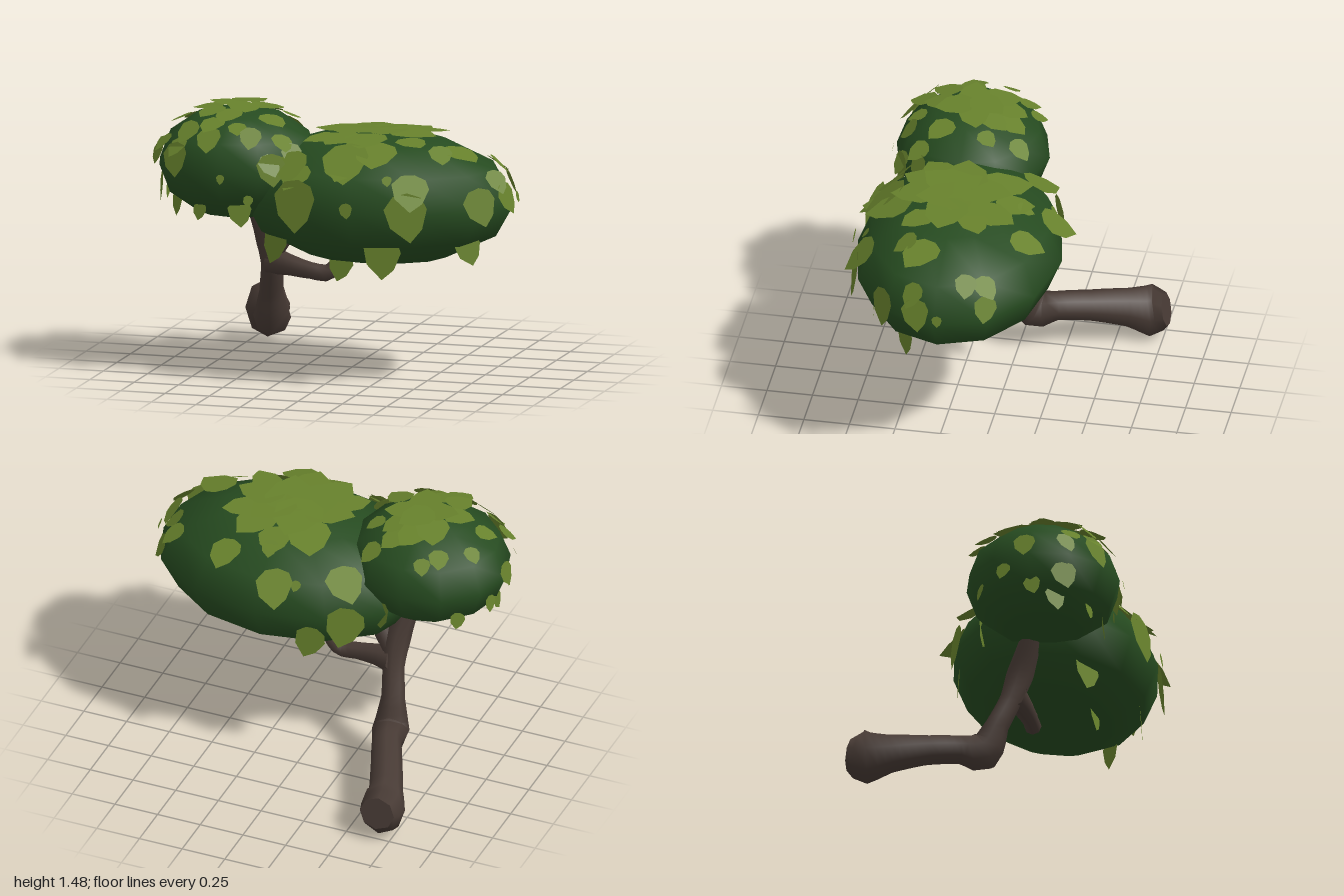
import * as THREE from 'three';

const bark = new THREE.MeshStandardMaterial({ name: 'bark brown', color: 0x483b35, side: THREE.DoubleSide });
const foliage = new THREE.MeshStandardMaterial({ name: 'deep green', color: 0x264b20 });
const leafGreen = new THREE.MeshStandardMaterial({ name: 'leaf green', color: 0x67812c, side: THREE.DoubleSide });

// Seeded random numbers for small leaf variations
let seed = 7;
function rnd() {
  seed = (seed * 16807) % 2147483647;
  return seed / 2147483647;
}

// Tapering limb through points [x, y, z, radius, vertical stretch], with a flat cap at its start
function limb(name, pts, segments, sides = 8) {
  const group = new THREE.Group();
  group.name = name;
  const curve = new THREE.CatmullRomCurve3(pts.map(p => new THREE.Vector3(p[0], p[1], p[2])));
  const geo = new THREE.TubeGeometry(curve, segments, 1, sides);
  const pos = geo.attributes.position;
  const v = new THREE.Vector3();
  for (let i = 0; i <= segments; i++) {
    const centre = curve.getPointAt(i / segments);
    const t = curve.getUtoTmapping(i / segments) * (pts.length - 1);
    const k = Math.min(Math.floor(t), pts.length - 2);
    const r = THREE.MathUtils.lerp(pts[k][3], pts[k + 1][3], t - k);
    const stretch = THREE.MathUtils.lerp(pts[k][4] ?? 1, pts[k + 1][4] ?? 1, t - k);
    for (let j = 0; j <= sides; j++) {
      const id = i * (sides + 1) + j;
      v.fromBufferAttribute(pos, id).sub(centre).multiplyScalar(r);
      v.y *= stretch;
      v.add(centre);
      pos.setXYZ(id, v.x, v.y, v.z);
    }
  }
  const tube = new THREE.Mesh(geo, bark);
  tube.name = name + 'Tube';
  const ring = [];
  for (let j = 0; j < sides; j++) {
    const a = new THREE.Vector3().fromBufferAttribute(pos, j);
    const b = new THREE.Vector3().fromBufferAttribute(pos, j + 1);
    ring.push(curve.getPointAt(0), a, b);
  }
  const capGeo = new THREE.BufferGeometry().setFromPoints(ring);
  capGeo.computeVertexNormals();
  const cap = new THREE.Mesh(capGeo, bark);
  cap.name = name + 'Cap';
  group.add(tube, cap);
  return group;
}

// Flat pointed leaf, tip towards -y
const leafShape = new THREE.Shape([
  [0, -0.6], [0.3, -0.34], [0.47, 0.08], [0.38, 0.34], [0.1, 0.48], [-0.22, 0.45], [-0.46, 0.2], [-0.38, -0.22],
].map(p => new THREE.Vector2(p[0], p[1])));
const leafGeo = new THREE.ShapeGeometry(leafShape);

// Ellipsoid clump with leaves; each leaf list gives two coordinates and a size
function clump(name, c, r, lists) {
  const group = new THREE.Group();
  group.name = name;
  const body = new THREE.Mesh(new THREE.SphereGeometry(1, 12, 6), foliage);
  body.name = name + 'Body';
  body.position.set(...c);
  body.scale.set(...r);
  group.add(body);
  for (const { axes: [a, b], normal: n, sign, leaves } of lists) {
    for (const [pa, pb, size] of leaves) {
      // Unit-sphere direction for the leaf, kept on the surface
      const u = [0, 0, 0];
      u[a] = (pa - c[a]) / r[a];
      u[b] = (pb - c[b]) / r[b];
      const len = Math.hypot(u[a], u[b]);
      if (len > 0.985) { u[a] *= 0.985 / len; u[b] *= 0.985 / len; }
      u[n] = sign * Math.sqrt(1 - u[a] ** 2 - u[b] ** 2);
      const normal = new THREE.Vector3(u[0] / r[0], u[1] / r[1], u[2] / r[2]).normalize();
      const offset = normal.clone().multiplyScalar(0.008 + rnd() * 0.014);
      // Low leaves hang straight down, and all turn a little towards their own side
      normal.y = Math.max(normal.y, 0.05);
      normal.setComponent(n, normal.getComponent(n) + sign * 0.25).normalize();
      const up = new THREE.Vector3(0, 1, 0).addScaledVector(normal, -normal.y);
      if (up.length() < 0.02) up.set(0, 0, -1);
      up.normalize();
      const side = new THREE.Vector3().crossVectors(up, normal);
      const leaf = new THREE.Mesh(leafGeo, leafGreen);
      leaf.name = 'leaf';
      leaf.quaternion.setFromRotationMatrix(new THREE.Matrix4().makeBasis(side, up, normal));
      leaf.rotateZ((rnd() - 0.5) * 0.6);
      leaf.rotateX(-rnd() * 0.14);
      leaf.position.set(c[0] + u[0] * r[0], c[1] + u[1] * r[1], c[2] + u[2] * r[2]).add(offset);
      leaf.scale.setScalar(size);
      group.add(leaf);
    }
  }
  return group;
}

const front = leaves => ({ axes: [0, 1], normal: 2, sign: 1, leaves });
const back = leaves => ({ axes: [0, 1], normal: 2, sign: -1, leaves });
const top = leaves => ({ axes: [0, 2], normal: 1, sign: 1, leaves });
const leftSide = leaves => ({ axes: [2, 1], normal: 0, sign: 1, leaves });
const rightSide = leaves => ({ axes: [2, 1], normal: 0, sign: -1, leaves });

export function createModel() {
  const tree = new THREE.Group();
  tree.name = 'leaningTree';

  // Trunk runs forward from its blunt end, then bends upward
  tree.add(limb('trunk', [
    [-0.685, 0.18, -0.765, 0.1, 0.9], [-0.685, 0.165, -0.69, 0.125, 1.32], [-0.65, 0.19, -0.56, 0.093, 1.25],
    [-0.57, 0.23, -0.36, 0.085], [-0.5, 0.25, -0.19, 0.08], [-0.475, 0.24, -0.08, 0.105, 1.15],
    [-0.455, 0.4, 0, 0.065], [-0.43, 0.56, 0.07, 0.06], [-0.43, 0.7, 0.12, 0.075], [-0.48, 0.92, 0.2, 0.055],
  ], 34));
  tree.add(limb('forkBranch', [
    [-0.43, 0.62, 0.1, 0.06], [-0.35, 0.74, 0.12, 0.06], [-0.25, 0.88, 0.15, 0.045],
  ], 6));
  tree.add(limb('sideBranch', [
    [-0.43, 0.585, 0.08, 0.08], [-0.32, 0.57, 0.11, 0.06], [-0.2, 0.55, 0.13, 0.047],
    [-0.09, 0.545, 0.13, 0.047], [-0.04, 0.61, 0.11, 0.038], [0.01, 0.74, 0.1, 0.028],
  ], 14));

  tree.add(clump('smallClump', [-0.553, 1.157, 0.27], [0.447, 0.31, 0.42], [
    front([
      [-0.81, 1.22, 0.18], [-0.86, 0.95, 0.13], [-0.62, 1.33, 0.15], [-0.46, 0.95, 0.14], [-0.4, 1.34, 0.13],
      [-0.28, 1.19, 0.17], [-0.53, 1.14, 0.05], [-0.75, 1.35, 0.14], [-0.2, 1.25, 0.13], [-0.94, 1.22, 0.12],
      [-0.69, 0.94, 0.09], [-0.4, 1.02, 0.06],
    ]),
    top([
      [-0.72, 0, 0.12], [-0.65, -0.06, 0.1], [-0.45, 0.04, 0.16], [-0.63, 0.13, 0.2], [-0.52, 0.19, 0.2],
      [-0.6, 0.27, 0.2], [-0.5, 0.35, 0.2], [-0.7, 0.3, 0.17], [-0.42, 0.24, 0.18], [-0.86, 0.3, 0.12],
      [-0.9, 0.48, 0.12], [-0.8, 0.58, 0.13], [-0.62, 0.54, 0.15], [-0.48, 0.55, 0.11], [-0.33, 0.4, 0.16],
      [-0.25, 0.5, 0.13], [-0.34, -0.02, 0.13], [-0.3, 0.15, 0.11], [-0.86, 0.12, 0.1], [-0.54, 0.07, 0.18],
      [-0.28, 0.61, 0.13], [-0.66, 0.42, 0.16], [-0.56, 0.45, 0.16], [-0.42, 0.13, 0.15],
    ]),
    rightSide([[0.25, 1.2, 0.13], [0.45, 1.05, 0.15], [0.28, 1.0, 0.1], [0.13, 1.08, 0.09]]),
    back([[-0.4, 1, 0.17], [-0.83, 1.03, 0.09]]),
  ]));

  tree.add(clump('largeClump', [0.203, 0.995, 0.2], [0.772, 0.365, 0.56], [
    front([
      [-0.1, 1.03, 0.27], [-0.29, 0.77, 0.2], [0.52, 1, 0.25], [0.36, 0.77, 0.22], [0.77, 0.78, 0.16],
      [0.86, 1.03, 0.2], [0.15, 1.24, 0.28], [0.2, 1.02, 0.08], [0.4, 1.17, 0.06], [0.07, 0.67, 0.16],
      [0.9, 1.13, 0.14], [-0.16, 1.2, 0.2], [0.62, 1.27, 0.14],
    ]),
    top([
      [0.2, -0.09, 0.2], [0.44, -0.2, 0.19], [0.3, 0.13, 0.26], [0.06, 0.4, 0.24], [0.3, 0.55, 0.25],
      [0.25, 0.25, 0.3], [0.03, -0.02, 0.26], [0.7, 0.32, 0.22], [0.15, 0.64, 0.2], [0.8, -0.05, 0.14],
      [0.02, 0.2, 0.27], [-0.24, -0.16, 0.22], [0.11, -0.3, 0.22], [0.46, 0.08, 0.18], [0.45, 0.38, 0.18],
      [-0.12, 0.64, 0.18], [0.15, 0.1, 0.3], [0.4, 0.24, 0.26], [-0.05, 0.36, 0.2], [0.35, 0, 0.24],
      [0.2, 0.42, 0.26], [0.53, 0.67, 0.22], [0.12, 0.26, 0.3],
    ]),
    leftSide([[0.3, 1.05, 0.17], [0.05, 1.18, 0.13], [-0.06, 1.07, 0.14], [0.18, 1.03, 0.06]]),
    back([[-0.27, 0.98, 0.23], [-0.08, 0.85, 0.18], [0, 1.17, 0.06], [0.2, 1.28, 0.1]]),
  ]));

  return tree;
}
